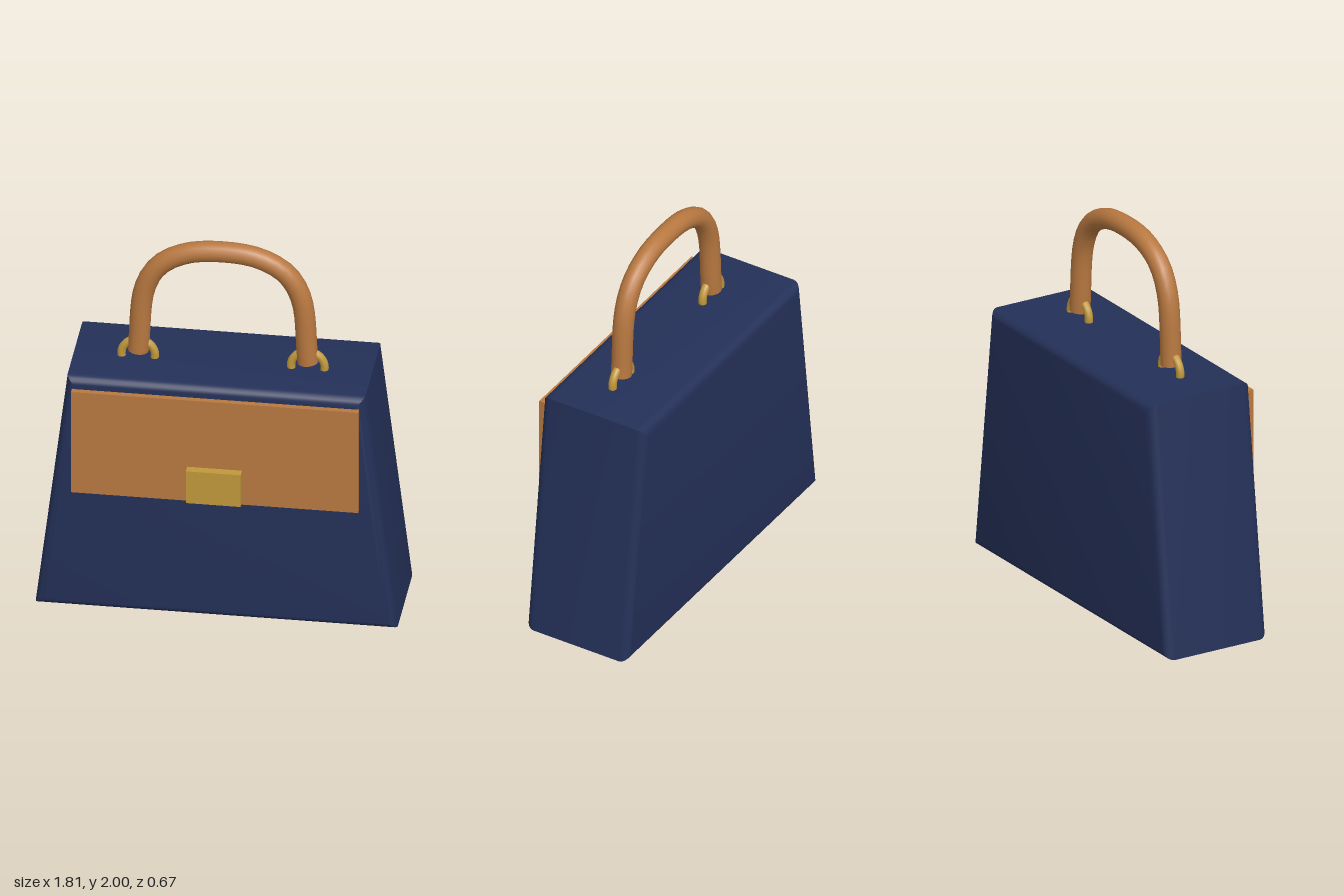
import * as THREE from 'three';
import { toCreasedNormals } from 'three/addons/utils/BufferGeometryUtils.js';

const navy = new THREE.MeshStandardMaterial({ color: 0x243058 });
navy.name = 'navy leather';
const tan = new THREE.MeshStandardMaterial({ color: 0xb87840 });
tan.name = 'tan leather';
const gold = new THREE.MeshStandardMaterial({ color: 0xc0983c });
gold.name = 'gold metal';

export function createModel() {
  const bag = new THREE.Group();
  bag.name = 'handbag';

  function add(name, geometry, material, x = 0, y = 0, z = 0) {
    const mesh = new THREE.Mesh(geometry, material);
    mesh.name = name;
    mesh.position.set(x, y, z);
    bag.add(mesh);
    return mesh;
  }

  // Box that spans from one corner to the other
  function slab(name, material, halfWidth, y0, y1, z0, z1) {
    add(name, new THREE.BoxGeometry(halfWidth * 2, y1 - y0, z1 - z0), material,
      0, (y0 + y1) / 2, (z0 + z1) / 2);
  }

  // Tapered body with rounded front and back edges
  const back = -0.337, front = 0.26, bevel = 0.05;
  const outline = new THREE.Shape([
    new THREE.Vector2(-0.905, 0),
    new THREE.Vector2(0.905, 0),
    new THREE.Vector2(0.745, 1.315),
    new THREE.Vector2(-0.745, 1.315),
  ]);
  const body = new THREE.ExtrudeGeometry(outline, {
    depth: front - back - 2 * bevel,
    bevelEnabled: true,
    bevelThickness: bevel,
    bevelSize: bevel,
    bevelOffset: -bevel,
    bevelSegments: 5,
  });
  add('body', toCreasedNormals(body, 0.6), navy, 0, 0, back + bevel);

  // Front flap and clasp
  slab('flap', tan, 0.718, 0.68, 1.255, 0.25, 0.291);
  slab('clasp', gold, 0.137, 0.693, 0.875, 0.28, 0.337);

  // Arched handle
  const handleZ = -0.006, handleRadius = 0.053;
  const half = [[0.424, 1.352], [0.39, 1.715], [0.315, 1.848], [0.18, 1.925]];
  const points = [
    ...half.map(([x, y]) => new THREE.Vector3(-x, y, 0)),
    new THREE.Vector3(0, 1.947, 0),
    ...half.slice().reverse().map(([x, y]) => new THREE.Vector3(x, y, 0)),
  ];
  const path = new THREE.CatmullRomCurve3(points);
  add('handle', new THREE.TubeGeometry(path, 32, handleRadius, 16), tan, 0, 0, handleZ);

  // End caps that close the handle tube
  for (const t of [0, 1]) {
    const cap = add('handleEnd', new THREE.CircleGeometry(handleRadius, 16), tan);
    cap.position.copy(path.getPointAt(t)).setZ(handleZ);
    const outward = path.getTangentAt(t).multiplyScalar(t ? 1 : -1);
    cap.quaternion.setFromUnitVectors(new THREE.Vector3(0, 0, 1), outward);
  }

  // Rings that join the handle to the body
  for (const side of [-1, 1]) {
    add(side > 0 ? 'leftRing' : 'rightRing',
      new THREE.TorusGeometry(0.084, 0.021, 12, 32), gold, side * 0.424, 1.327, handleZ);
  }

  return bag;
}
